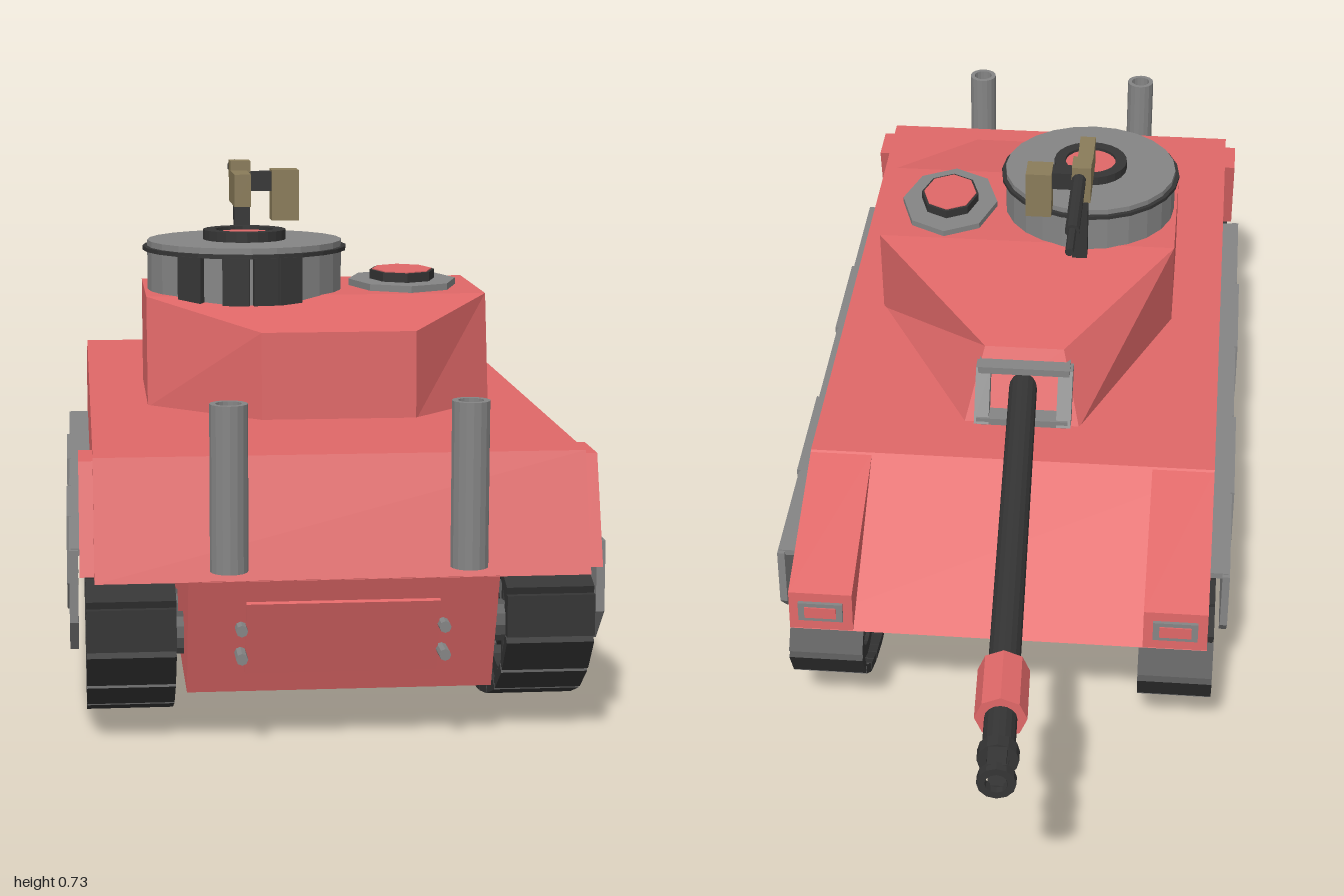
import * as THREE from 'three';

const mat = (color) => new THREE.MeshStandardMaterial({ color, flatShading: true, side: THREE.DoubleSide });
const RED = mat(0xe06868), GREY = mat(0x858585), DARK = mat(0x353535), STEEL = mat(0x555555), TAN = mat(0x8a7c5a);

export function createModel() {
  const root = new THREE.Group();
  const add = (name, geo, material, x = 0, y = 0, z = 0, parent = root) => {
    const m = new THREE.Mesh(geo, material);
    m.name = name;
    m.position.set(x, y, z);
    parent.add(m);
    return m;
  };
  const group = (name, parent = root) => {
    const g = new THREE.Group();
    g.name = name;
    parent.add(g);
    return g;
  };
  const box = (w, h, d) => new THREE.BoxGeometry(w, h, d);
  const cyl = (r, h, n = 16) => new THREE.CylinderGeometry(r, r, h, n);
  const cylX = (r, h, n) => cyl(r, h, n).rotateZ(Math.PI / 2);
  const cylZ = (r, h, n) => cyl(r, h, n).rotateX(Math.PI / 2);
  // Side outline of [z, y] points, extruded between two x positions
  const slab = (pts, x0, x1) => {
    const s = new THREE.Shape(pts.map(([z, y]) => new THREE.Vector2(z, y)));
    const g = new THREE.ExtrudeGeometry(s, { depth: x1 - x0, bevelEnabled: false });
    return g.rotateY(-Math.PI / 2).translate(x1, 0, 0);
  };
  // Open pipe along y
  const pipe = (ro, ri, h, n = 16) => new THREE.LatheGeometry(
    [[ri, -h / 2], [ro, -h / 2], [ro, h / 2], [ri, h / 2], [ri, -h / 2]].map(([a, b]) => new THREE.Vector2(a, b)), n);

  // Hull
  add('upperHull', slab([[0.95, 0.235], [0.9, 0.393], [-0.2, 0.393], [-0.46, 0.235]], -0.335, 0.32), RED);
  add('lowerHull', slab([[0.95, 0.236], [0.89, 0.07], [-0.22, 0.07], [-0.455, 0.236]], -0.213, 0.198), RED);
  const rearPanel = add('rearPanel', box(0.257, 0.11, 0.012), RED, -0.008, 0.153, 0.92);
  rearPanel.rotation.x = 0.35;
  for (const x of [-0.143, 0.126]) for (const y of [0.13, 0.168])
    add('rearBolt', cylZ(0.008, 0.05, 8), GREY, x, y, 0.925);
  for (const [x0, x1] of [[-0.354, -0.33], [0.315, 0.34]])
    add('rearSidePlate', slab([[0.93, 0.24], [0.88, 0.385], [0.8, 0.385], [0.84, 0.24]], x0, x1), RED);

  // Headlight housings on the front corners
  for (const [x0, x1] of [[-0.335, -0.235], [0.22, 0.32]]) {
    const xc = (x0 + x1) / 2;
    add('headlightHousing', slab([[-0.2, 0.392], [-0.458, 0.305], [-0.46, 0.236]], x0, x1), RED);
    add('headlightFrame', box(0.07, 0.034, 0.006), GREY, xc, 0.272, -0.461);
    add('headlight', box(0.05, 0.02, 0.006), RED, xc, 0.272, -0.463);
  }

  // Exhaust pipes and their brackets
  for (const x of [-0.161, 0.153]) {
    add('exhaustPipe', pipe(0.025, 0.017, 0.22), GREY, x, 0.365, 0.972);
    for (const y of [0.315, 0.355]) add('exhaustBracket', cylZ(0.006, 0.06, 8), GREY, x, y, 0.93);
  }

  // Running gear
  const trackPath = new THREE.CatmullRomCurve3([
    [0.72, 0.012], [0.45, 0.01], [0.2, 0.016], [-0.05, 0.01], [-0.24, 0.02], [-0.37, 0.07], [-0.435, 0.15],
    [-0.39, 0.208], [-0.28, 0.222], [0.1, 0.212], [0.5, 0.212], [0.82, 0.222], [0.925, 0.205], [0.935, 0.15], [0.86, 0.06],
  ].map(([z, y]) => new THREE.Vector3(0, y, z)), true);
  const LINKS = 46;
  const pts = trackPath.getSpacedPoints(LINKS);
  for (const [name, x, inner, dy] of [['rightRunningGear', -0.287, 1, 0], ['leftRunningGear', 0.27, -1, 0.008]]) {
    const gear = group(name);
    gear.position.set(x, dy, 0);
    for (let i = 0; i < LINKS; i++) {
      const a = pts[i], b = pts[i + 1];
      const link = add('trackLink', box(0.118, 0.014, a.distanceTo(b) * 0.92), DARK, 0, (a.y + b.y) / 2, (a.z + b.z) / 2, gear);
      link.rotation.x = -Math.atan2(b.y - a.y, b.z - a.z);
      add('trackGrouser', box(0.118, 0.008, 0.014), DARK, 0, -0.004, 0, link);
    }
    for (const [z, y] of [[0.785, 0.125], [0.595, 0.11], [0.395, 0.11], [0.2, 0.11], [0, 0.11], [-0.28, 0.13]]) {
      const wheel = group('roadWheel', gear);
      wheel.position.set(0, y, z);
      add('tyre', pipe(0.088, 0.066, 0.09, 24).rotateZ(Math.PI / 2), DARK, 0, 0, 0, wheel);
      add('wheelDisc', cylX(0.067, 0.06, 24), STEEL, 0, 0, 0, wheel);
      add('hub', cylX(0.024, 0.096, 12), STEEL, 0, 0, 0, wheel);
      for (let k = 0; k < 4; k++) {
        const spoke = add('wheelRib', box(0.078, 0.124, 0.01), DARK, 0, 0, 0, wheel);
        spoke.rotation.x = (k * Math.PI) / 4;
      }
      add('axle', cylX(0.03, 0.06, 12), STEEL, inner * 0.06, 0, 0, wheel);
    }
  }

  // Side skirts with clipped lower corners
  const edges = [0.82, 0.595, 0.375, 0.155, -0.07, -0.297];
  for (const s of [-1, 1]) {
    const skirt = group(s < 0 ? 'rightSkirt' : 'leftSkirt');
    skirt.position.x = s * 0.362;
    for (let i = 0; i < 5; i++) {
      const a = edges[i] - 0.002, b = edges[i + 1] + 0.002;
      const panel = slab([[a, 0.25], [a, 0.15], [a - 0.05, 0.1], [b + 0.05, 0.1], [b, 0.15], [b, 0.25]], -0.006, 0.006);
      add('skirtPanel', panel, GREY, s * (i % 2) * 0.004, 0, 0, skirt);
    }
    add('skirtRail', box(0.035, 0.01, 1.1), GREY, -s * 0.014, 0.247, 0.262, skirt);
  }

  // Turret: lower and upper rings joined by walls, with a sloped roof
  const low = [[-0.25, 0.24], [-0.25, 0.49], [-0.092, 0.632], [0.13, 0.632], [0.258, 0.49], [0.258, 0.24], [0.08, -0.1], [-0.11, -0.1]]
    .map(([x, z]) => [x, 0.39, z]);
  const high = [[-0.25, 0.55, 0.22], [-0.25, 0.55, 0.455], [-0.092, 0.518, 0.63], [0.13, 0.518, 0.63],
    [0.258, 0.55, 0.455], [0.258, 0.55, 0.22], [0.05, 0.508, -0.045], [-0.08, 0.508, -0.045]];
  const v = [];
  const quad = (a, b, c, d) => v.push(...a, ...b, ...c, ...a, ...c, ...d);
  for (let i = 0; i < 8; i++) {
    const j = (i + 1) % 8;
    quad(low[i], low[j], high[j], high[i]);
  }
  for (const [a, b, c, d] of [[0, 1, 4, 5], [1, 2, 3, 4], [0, 5, 6, 7]]) quad(high[a], high[b], high[c], high[d]);
  const turretGeo = new THREE.BufferGeometry();
  turretGeo.setAttribute('position', new THREE.Float32BufferAttribute(v, 3));
  turretGeo.computeVertexNormals();
  add('turret', turretGeo, RED);

  // Mantlet frame and main gun, turned slightly to the side
  const cheek = slab([[-0.05, 0.485], [-0.075, 0.485], [-0.122, 0.405], [-0.07, 0.405]], -0.012, 0.012);
  for (const x of [-0.085, 0.05]) add('mantletCheek', cheek, GREY, x);
  add('mantletTop', box(0.15, 0.012, 0.04), GREY, -0.017, 0.483, -0.06);
  add('mantletBottom', box(0.15, 0.012, 0.05), GREY, -0.017, 0.409, -0.095);
  const gun = group('mainGun');
  gun.position.set(-0.014, 0.447, -0.05);
  gun.rotation.y = 0.046;
  add('barrel', cylZ(0.023, 0.9, 16), DARK, 0, 0, -0.45, gun);
  add('barrelCollar', cylZ(0.037, 0.1, 8), RED, 0, 0, -0.772, gun);
  add('muzzleRing', pipe(0.029, 0.016, 0.02, 12).rotateX(Math.PI / 2), DARK, 0, 0, -0.895, gun);
  add('muzzleTip', pipe(0.027, 0.016, 0.014, 12).rotateX(Math.PI / 2), DARK, 0, 0, -0.943, gun);
  for (const y of [-0.019, 0.019]) add('muzzleBridge', box(0.026, 0.012, 0.04), DARK, 0, y, -0.92, gun);

  // Round cupola
  const cupola = group('cupola');
  cupola.position.set(-0.097, 0, 0.355);
  add('cupolaBody', cyl(0.148, 0.085, 24), GREY, 0, 0.5825, 0, cupola);
  add('cupolaRail', cyl(0.155, 0.006, 24), DARK, 0, 0.613, 0, cupola);
  add('cupolaHatchRing', pipe(0.063, 0.044, 0.016, 24), DARK, 0, 0.632, 0, cupola);
  add('cupolaHatchCentre', cyl(0.045, 0.01, 24), RED, 0, 0.63, 0, cupola);
  for (const a of [-0.62, -0.15, 0.15, 0.38]) {
    const block = add('cupolaBlock', box(0.04, 0.07, 0.02), DARK, Math.sin(a) * 0.146, 0.576, Math.cos(a) * 0.146, cupola);
    block.rotation.y = a;
  }

  // Second roof hatch: stretched octagons
  for (const [name, r, y, h, m] of [['roofHatchRim', 0.083, 0.554, 0.012, GREY], ['roofHatchLid', 0.05, 0.566, 0.016, DARK],
    ['roofHatchTop', 0.046, 0.573, 0.005, RED]])
    add(name, cyl(r, h, 8).scale(1, 1, 1.32), m, 0.148, y, 0.335);

  // Roof machine gun
  const mg = group('machineGun');
  add('gunPost', box(0.025, 0.15, 0.025), DARK, -0.09, 0.62, 0.195, mg);
  add('gunCradle', box(0.075, 0.03, 0.03), DARK, -0.07, 0.7, 0.185, mg);
  add('gunReceiver', box(0.026, 0.05, 0.1), TAN, -0.095, 0.693, 0.245, mg);
  add('gunGuard', box(0.032, 0.065, 0.04), TAN, -0.092, 0.7, 0.18, mg);
  add('ammunitionBox', box(0.043, 0.08, 0.045), TAN, -0.021, 0.678, 0.18, mg);
  add('gunBarrel', cylZ(0.012, 0.17, 10), DARK, -0.088, 0.71, 0.08, mg);
  add('gunMuzzle', cylZ(0.007, 0.07, 8), DARK, -0.088, 0.71, -0.035, mg);

  return root;
}
